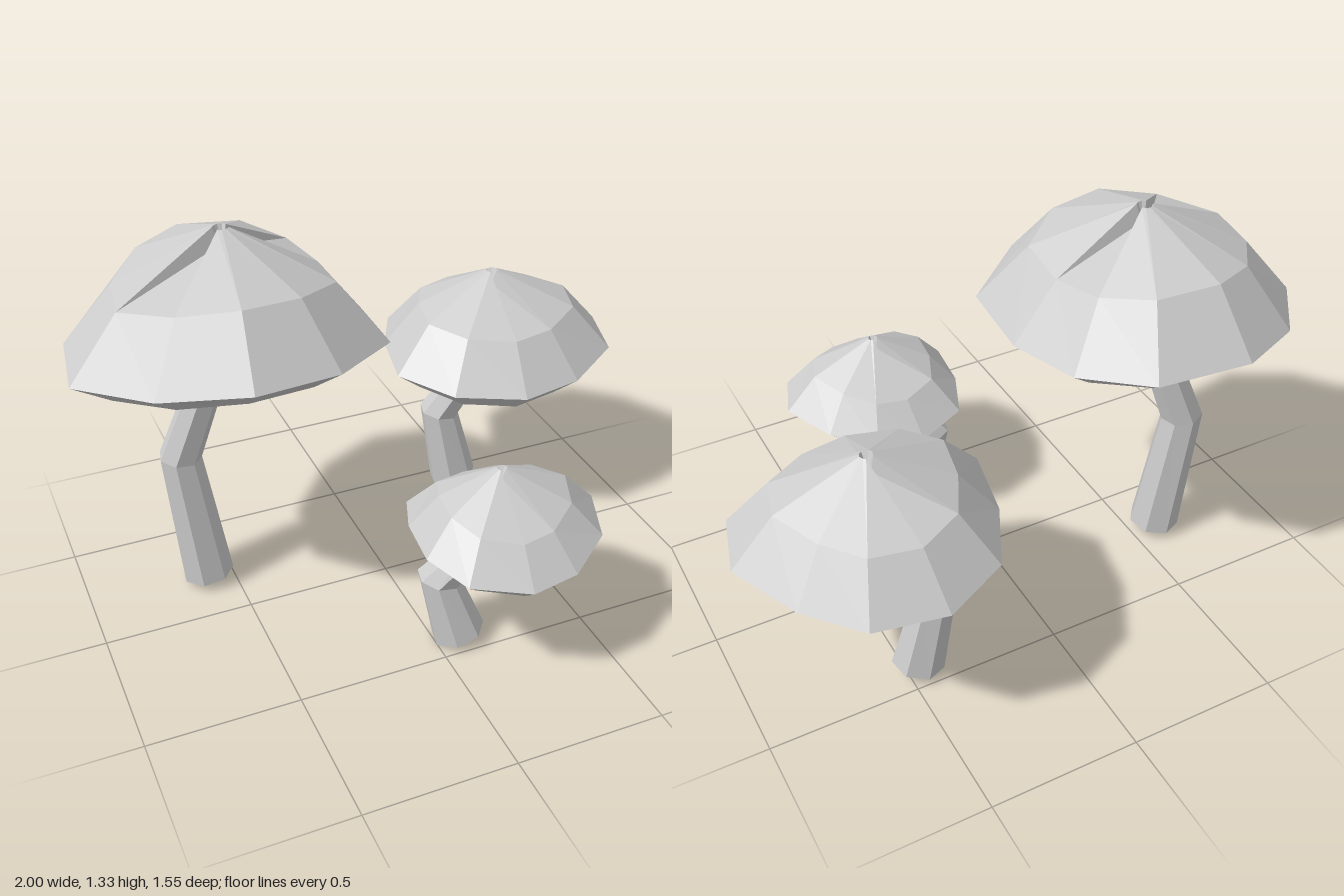
import * as THREE from 'three';

const grey = new THREE.MeshStandardMaterial({ color: 0xcccccc, flatShading: true });
grey.name = 'plain grey';

// Skin a stack of rings (bottom to top, clockwise from above) and close both ends.
function loft(rings, bottomCentre, topCentre, name) {
  const n = rings[0].length;
  const tris = [];
  rings.forEach((ring, r) => {
    const next = rings[r + 1];
    for (let i = 0; i < n; i++) {
      const j = (i + 1) % n;
      if (r === 0) tris.push(bottomCentre, ring[i], ring[j]);
      if (next) tris.push(ring[i], next[i], next[j], ring[i], next[j], ring[j]);
      else tris.push(topCentre, ring[j], ring[i]);
    }
  });
  const geometry = new THREE.BufferGeometry().setFromPoints(tris);
  geometry.computeVertexNormals();
  const mesh = new THREE.Mesh(geometry, grey);
  mesh.name = name;
  return mesh;
}

// Faceted cap: under ring, wavy rim, shoulder, and a tiny notched crown.
function makeCap({ apex, rim, rimY, bend, rise, drop, notch }) {
  const [ax, ay, az] = apex;
  const ring = (scale, yAt) => rim.map(([x, z], i) => {
    const wave = bend * Math.cos(2 * Math.atan2(z - az, x - ax));
    return new THREE.Vector3(ax + (x - ax) * scale, yAt(rimY + wave, i), az + (z - az) * scale);
  });
  const dip = rise * 0.33;
  return loft([
    ring(0.76, y => y - drop),
    ring(1, y => y),
    ring(0.68, y => y + rise),
    ring(0.05, (y, i) => ay - (notch.includes(i) ? dip : 0)),
  ],
  new THREE.Vector3(ax, rimY - drop, az),
  new THREE.Vector3(ax, ay - dip, az), 'cap');
}

// Bent seven-sided stem through a foot, a knee and a top point.
function makeStem(path, radii) {
  const pts = path.map(p => new THREE.Vector3(...p));
  const up = new THREE.Vector3(0, 1, 0);
  const rings = pts.map((p, k) => {
    const a = pts[Math.max(k - 1, 0)], b = pts[Math.min(k + 1, pts.length - 1)];
    const q = new THREE.Quaternion().setFromUnitVectors(up, b.clone().sub(a).normalize());
    return Array.from({ length: 7 }, (_, i) => {
      const t = (i + 0.25) / 7 * Math.PI * 2;
      return new THREE.Vector3(Math.cos(t) * radii[k], 0, Math.sin(t) * radii[k])
        .applyQuaternion(q).add(p);
    });
  });
  return loft(rings, pts[0], pts[pts.length - 1], 'stem');
}

const mushrooms = [
  {
    name: 'tallMushroom',
    cap: {
      apex: [-0.47, 1.33, -0.16], rimY: 0.99, bend: -0.03, rise: 0.195, drop: 0.09, notch: [0, 6],
      rim: [[-1, -0.02], [-0.96, -0.3], [-0.78, -0.54], [-0.55, -0.65], [-0.25, -0.61], [-0.08, -0.42],
        [-0.015, -0.17], [-0.03, 0.11], [-0.26, 0.29], [-0.54, 0.33], [-0.8, 0.21]],
    },
    stem: [[-0.59, 0.03, -0.2], [-0.645, 0.51, -0.225], [-0.5, 0.93, -0.17]],
    radii: [0.088, 0.072, 0.055],
  },
  {
    name: 'smallMushroom',
    cap: {
      apex: [0.19, 0.67, 0.465], rimY: 0.445, bend: 0.025, rise: 0.11, drop: 0.065, notch: [3, 8],
      rim: [[0.525, 0.46], [0.46, 0.64], [0.31, 0.75], [0.15, 0.775], [-0.03, 0.7], [-0.1, 0.55],
        [-0.08, 0.37], [-0.02, 0.22], [0.15, 0.155], [0.31, 0.18], [0.44, 0.29]],
    },
    stem: [[0.08, 0.025, 0.42], [0.022, 0.245, 0.39], [0.15, 0.41, 0.45]],
    radii: [0.09, 0.073, 0.055],
  },
  {
    name: 'middleMushroom',
    cap: {
      apex: [0.57, 0.9, -0.37], rimY: 0.615, bend: 0.015, rise: 0.155, drop: 0.085, notch: [3, 8],
      rim: [[1, -0.36], [0.94, -0.14], [0.73, 0], [0.51, 0.04], [0.28, -0.05], [0.15, -0.24],
        [0.2, -0.48], [0.3, -0.68], [0.51, -0.78], [0.74, -0.74], [0.89, -0.59]],
    },
    stem: [[0.458, 0.032, -0.415], [0.405, 0.32, -0.435], [0.54, 0.56, -0.37]],
    radii: [0.088, 0.073, 0.055],
  },
];

export function createModel() {
  const model = new THREE.Group();
  model.name = 'mushrooms';
  for (const { name, cap, stem, radii } of mushrooms) {
    const group = new THREE.Group();
    group.name = name;
    group.add(makeCap(cap), makeStem(stem, radii));
    model.add(group);
  }
  return model;
}
